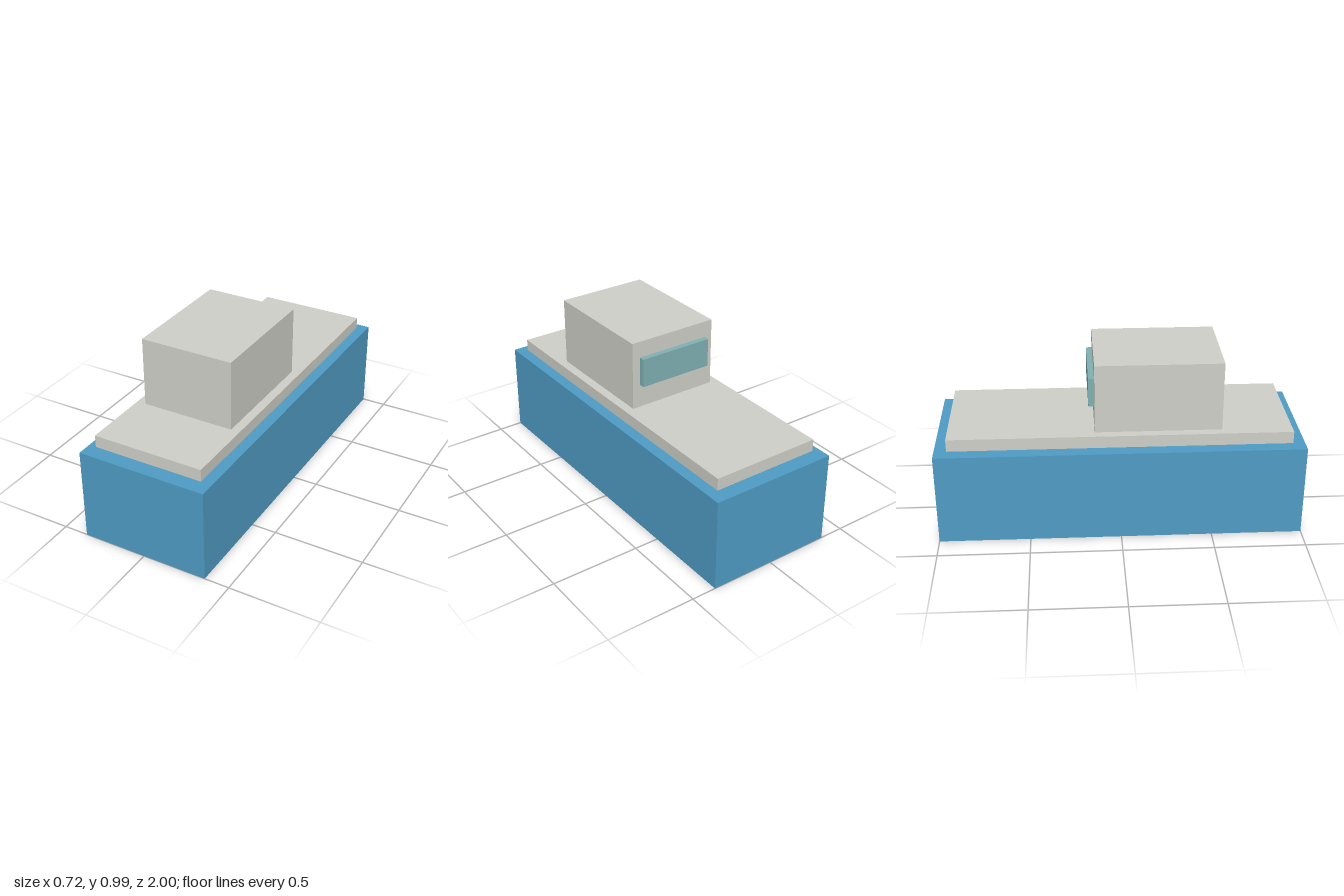
import * as THREE from 'three';

// Box given by its half width, bottom/top heights and back/front depths
function block(name, color, halfWidth, [bottom, top], [back, front]) {
  const mesh = new THREE.Mesh(
    new THREE.BoxGeometry(halfWidth * 2, top - bottom, front - back),
    new THREE.MeshStandardMaterial({ color })
  );
  mesh.name = name;
  mesh.position.set(0, (bottom + top) / 2, (back + front) / 2);
  return mesh;
}

export function createModel() {
  const model = new THREE.Group();
  model.name = 'boat';

  const blue = 0x4f9bc4, paleGrey = 0xcfcfc8, glass = 0x7fb0b3;
  model.add(
    // Hull, with the deck slab floating just above it
    block('hull', blue, 0.362, [0, 0.519], [-1, 1]),
    block('deck', paleGrey, 0.31, [0.531, 0.599], [-0.93, 0.93]),
    // Cabin towards the front, with a window panel on its back wall
    block('cabin', paleGrey, 0.26, [0.599, 0.985], [-0.138, 0.548]),
    block('cabinWindow', glass, 0.214, [0.731, 0.893], [-0.17, -0.138])
  );
  return model;
}
